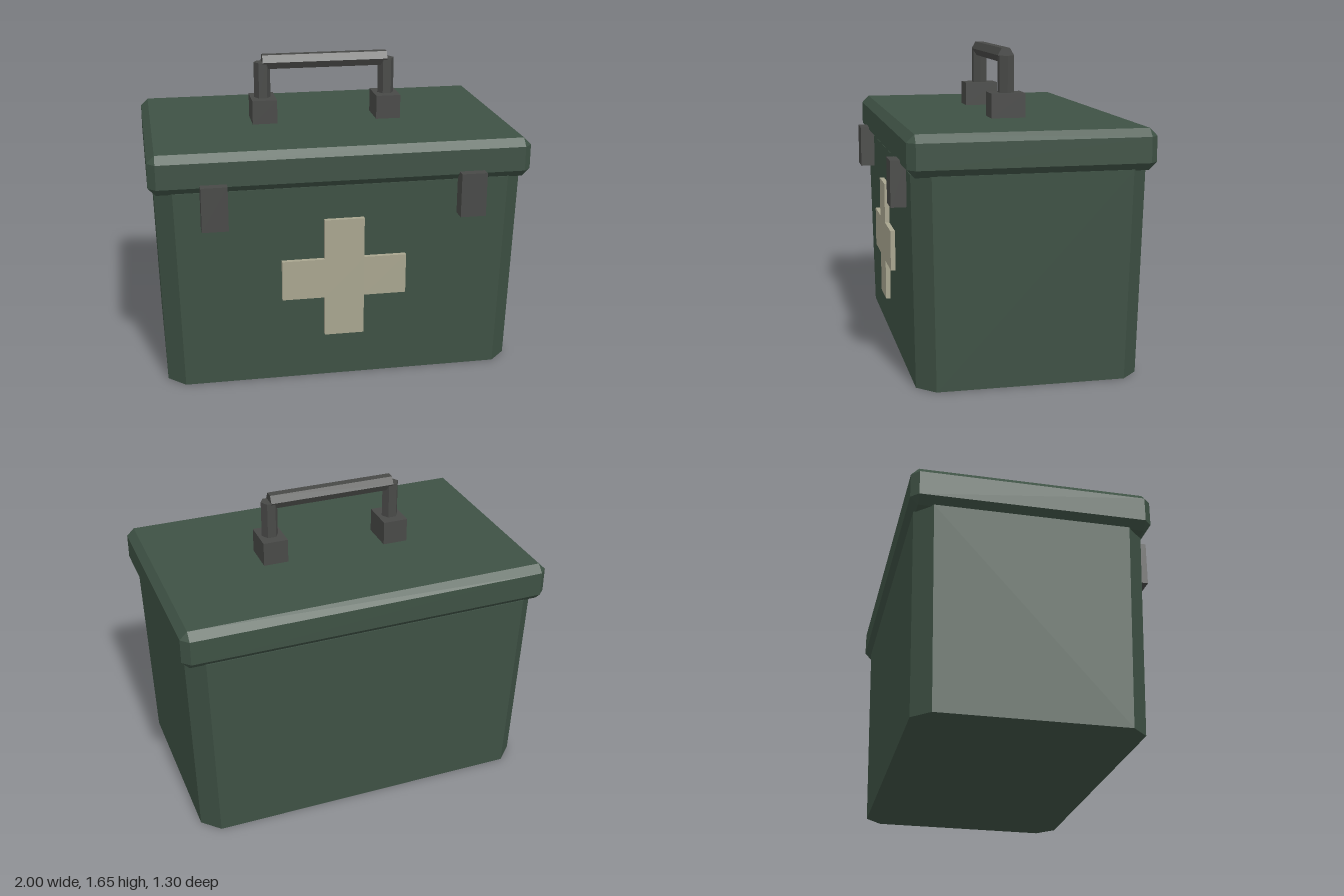
import * as THREE from 'three';
import { ConvexGeometry } from 'three/addons/geometries/ConvexGeometry.js';

const CENTER_Z = -0.025;

// Rectangle corners at height y; a positive cut chamfers each corner
function ring(y, halfX, halfZ, cut) {
  const points = [];
  for (const sx of [-1, 1]) for (const sz of [-1, 1]) {
    points.push(new THREE.Vector3(sx * (halfX - cut), y, sz * halfZ));
    if (cut > 0) points.push(new THREE.Vector3(sx * halfX, y, sz * (halfZ - cut)));
  }
  return points;
}

export function createModel() {
  const model = new THREE.Group();
  model.name = 'firstAidBox';

  const paint = (name, color) => {
    const m = new THREE.MeshStandardMaterial({ color, flatShading: true });
    m.name = name;
    return m;
  };
  const green = paint('dark green', 0x3e5144);
  const grey = paint('dark grey', 0x484947);
  const cream = paint('cream', 0xa8a58f);

  const add = (name, geometry, material, x, y, z) => {
    const mesh = new THREE.Mesh(geometry, material);
    mesh.name = name;
    mesh.position.set(x, y, z);
    model.add(mesh);
    return mesh;
  };

  // Tapered body with chamfered vertical corners
  add('body', new ConvexGeometry([
    ...ring(0, 0.94, 0.575, 0.09),
    ...ring(1.085, 0.97, 0.596, 0.09),
  ]), green, 0, 0, CENTER_Z);

  // Lid bevelled along every edge
  add('lid', new ConvexGeometry([
    ...ring(1.08, 0.96, 0.585, 0),
    ...ring(1.12, 1, 0.625, 0.04),
    ...ring(1.25, 1, 0.625, 0.04),
    ...ring(1.29, 0.96, 0.585, 0),
  ]), green, 0, 0, CENTER_Z);

  // Raised cross on the front
  const a = 0.105, b = 0.33, h = 0.108, v = 0.325;
  const outline = [
    [-a, -v], [a, -v], [a, -h], [b, -h], [b, h], [a, h],
    [a, v], [-a, v], [-a, h], [-b, h], [-b, -h], [-a, -h],
  ].map(([x, y]) => new THREE.Vector2(x, y));
  add('cross', new THREE.ExtrudeGeometry(new THREE.Shape(outline), { depth: 0.025, bevelEnabled: false }),
    cream, 0, 0.583, 0.575);

  // Latches, handle mounts and hexagonal posts, mirrored left and right
  for (const [side, s] of [['left', 1], ['right', -1]]) {
    add(side + 'Latch', new THREE.BoxGeometry(0.136, 0.235, 0.08), grey, s * 0.674, 1.017, 0.61);
    add(side + 'HandleMount', new THREE.BoxGeometry(0.135, 0.13, 0.185), grey, s * 0.343, 1.355, CENTER_Z);
    const post = add(side + 'HandlePost', new THREE.CylinderGeometry(0.045, 0.045, 0.2, 6), grey,
      s * 0.345, 1.515, CENTER_Z);
    post.rotation.y = Math.PI / 2;
  }

  // Hexagonal grip with a flat top
  const grip = new THREE.CylinderGeometry(0.044, 0.044, 0.69, 6);
  grip.rotateZ(Math.PI / 2);
  add('handleGrip', grip, grey, 0, 1.616, CENTER_Z);

  return model;
}
